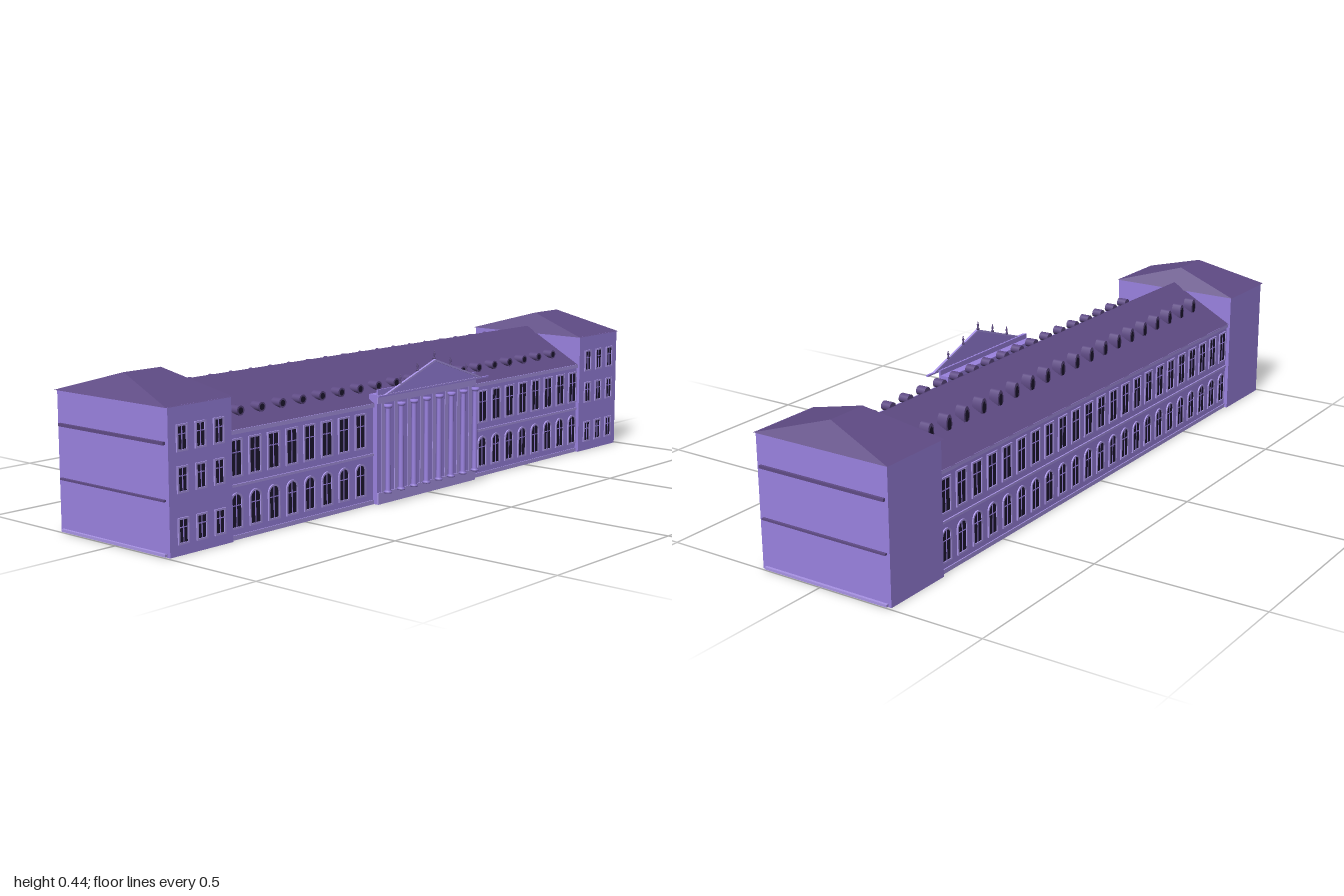
import * as THREE from 'three';

const mat = (color) => new THREE.MeshStandardMaterial({ color, side: THREE.DoubleSide });

export function createModel() {
  const root = new THREE.Group();
  root.name = 'palace';
  const wall = mat(0x9a82e0), roof = mat(0x5f4b85), dark = mat(0x1e1730), trim = mat(0xa994e6);
  const midZ = -0.0125; // ridge line of every roof

  const add = (name, geo, material, parent = root) => {
    const m = new THREE.Mesh(geo, material);
    m.name = name;
    parent.add(m);
    return m;
  };

  // Box given by its limits
  const block = (name, x0, x1, y0, y1, z0, z1, material, parent) => {
    const m = add(name, new THREE.BoxGeometry(x1 - x0, y1 - y0, z1 - z0), material, parent);
    m.position.set((x0 + x1) / 2, (y0 + y1) / 2, (z0 + z1) / 2);
    return m;
  };

  // Box whose top is pinched into a ridge from r0 to r1
  const ridgeRoof = (name, x0, x1, r0, r1, y0, y1, z0, z1) => {
    const g = new THREE.BoxGeometry(2, 2, 2);
    const p = g.attributes.position;
    for (let i = 0; i < p.count; i++) {
      const left = p.getX(i) < 0, top = p.getY(i) > 0, back = p.getZ(i) < 0;
      if (top) p.setXYZ(i, left ? r0 : r1, y1, midZ);
      else p.setXYZ(i, left ? x0 : x1, y0, back ? z0 : z1);
    }
    const flat = g.toNonIndexed();
    flat.computeVertexNormals();
    return add(name, flat, roof);
  };

  // Outline of a window opening, standing on y = 0
  const outline = (path, w, h, arched, grow = 0) => {
    const a = w / 2 + grow, top = arched ? h - w / 2 : h + grow;
    path.moveTo(-a, -grow);
    path.lineTo(a, -grow);
    path.lineTo(a, top);
    if (arched) path.absarc(0, top, a, 0, Math.PI, false);
    else path.lineTo(-a, top);
    path.lineTo(-a, -grow);
    return path;
  };

  // Window parts are shared between all windows of the same kind
  const windowKind = (w, h, arched) => {
    const frame = outline(new THREE.Shape(), w, h, arched, 0.005);
    frame.holes.push(outline(new THREE.Path(), w, h, arched));
    return {
      w, h,
      frame: new THREE.ExtrudeGeometry(frame, { depth: 0.004, bevelEnabled: false, curveSegments: 8 }),
      pane: new THREE.ShapeGeometry(outline(new THREE.Shape(), w, h, arched), 8),
      post: new THREE.BoxGeometry(0.0025, h, 0.002),
      rail: new THREE.BoxGeometry(w, 0.0025, 0.002),
    };
  };
  const addWindow = (kind, x, y, z, facing) => {
    const g = new THREE.Group();
    g.name = 'window';
    add('windowFrame', kind.frame, trim, g);
    add('windowPane', kind.pane, dark, g).position.z = 0.001;
    add('windowPost', kind.post, wall, g).position.set(0, kind.h / 2, 0.0015);
    add('windowRail', kind.rail, wall, g).position.set(0, kind.h * 0.66, 0.0015);
    g.position.set(x, y, z);
    if (facing < 0) g.rotation.y = Math.PI;
    root.add(g);
  };
  const tall = windowKind(0.036, 0.09, false);
  const arch = windowKind(0.034, 0.085, true);
  const small = windowKind(0.027, 0.058, false);

  // Main range
  block('mainWall', -0.78, 0.78, 0, 0.285, -0.21, 0.185, wall);
  ridgeRoof('mainRoof', -0.78, 0.78, -0.78, 0.78, 0.285, 0.395, -0.217, 0.19);
  for (const [y0, y1, d] of [[0, 0.012, 0.003], [0.138, 0.145, 0.004], [0.275, 0.286, 0.006]])
    block('stringCourse', -0.778, 0.778, y0, y1, -0.21 - d, 0.185 + d, trim);

  // Windows of the main range
  for (let i = 0; i < 8; i++) for (const s of [-1, 1]) {
    const x = s * (0.277 + i * 0.0682);
    addWindow(tall, x, 0.168, 0.185, 1);
    addWindow(arch, x, 0.033, 0.185, 1);
  }
  for (let i = -11; i <= 11; i++) {
    addWindow(tall, i * 0.0682, 0.168, -0.21, -1);
    addWindow(arch, i * 0.0682, 0.033, -0.21, -1);
  }

  // Round dormers on both slopes
  const disc = new THREE.CylinderGeometry(1, 1, 1, 14).rotateX(Math.PI / 2);
  for (let i = -9; i <= 9; i++) for (const s of [-1, 1]) {
    const front = s > 0, g = new THREE.Group();
    g.name = 'dormer';
    const rx = front ? 0.014 : 0.013, ry = front ? 0.013 : 0.027;
    add('dormerBody', disc, roof, g).scale.set(rx, ry, 0.03);
    const pane = add('dormerPane', disc, dark, g);
    pane.scale.set(rx * 0.6, ry * 0.65, 0.002);
    pane.position.z = 0.0148;
    g.position.set(i * 0.0775, front ? 0.323 : 0.347, front ? 0.133 : -0.115);
    if (!front) g.rotation.y = Math.PI;
    root.add(g);
  }

  // End pavilions
  for (const s of [-1, 1]) {
    const span = (a, b) => (s > 0 ? [a, b] : [-b, -a]);
    block('pavilionWall', ...span(0.778, 0.992), 0, 0.375, -0.222, 0.197, wall);
    ridgeRoof('pavilionRoof', ...span(0.772, 0.998), ...span(0.823, 0.947), 0.374, 0.435, -0.228, 0.2);
    for (const [y0, y1] of [[0.002, 0.009], [0.14, 0.145], [0.281, 0.289]])
      block('sideCourse', ...span(0.99, 1), y0, y1, -0.213, 0.186, y0 > 0.1 ? roof : trim);
    for (const x of [0.824, 0.886, 0.948]) for (const y of [0.033, 0.162, 0.266])
      addWindow(small, s * x, y, 0.197, 1);
  }

  // Portico
  block('porticoWall', -0.222, 0.222, 0, 0.31, 0.17, 0.2, wall);
  block('porticoParapet', -0.222, 0.222, 0.31, 0.325, 0.197, 0.202, wall);
  block('porticoFrieze', -0.222, 0.222, 0.285, 0.31, 0.2, 0.203, trim);
  block('porticoPlinth', -0.222, 0.222, 0, 0.033, 0.2, 0.204, trim);

  // Columns with pilasters behind them
  const columnProfile = [[0, 0], [0.0115, 0], [0.0115, 0.005], [0.0078, 0.009], [0.0068, 0.238],
    [0.0105, 0.243], [0.0115, 0.244], [0.0115, 0.25], [0, 0.25]].map((p) => new THREE.Vector2(...p));
  const columnGeo = new THREE.LatheGeometry(columnProfile, 14);
  for (let i = 0; i < 8; i++) {
    const x = (i - 3.5) * 0.0566;
    add('column', columnGeo, wall).position.set(x, 0.033, 0.2195);
    block('pilaster', x - 0.007, x + 0.007, 0.033, 0.285, 0.2, 0.202, trim);
  }

  // Pediment with raised raking edges
  const triangle = (path, a, y0, y1) => {
    path.moveTo(-a, y0);
    path.lineTo(a, y0);
    path.lineTo(0, y1);
    path.lineTo(-a, y0);
    return path;
  };
  const plate = (shape, depth) => new THREE.ExtrudeGeometry(shape, { depth, bevelEnabled: false });
  add('pediment', plate(triangle(new THREE.Shape(), 0.222, 0.311, 0.387), 0.004), wall).position.z = 0.222;
  const rim = triangle(new THREE.Shape(), 0.228, 0.31, 0.389);
  rim.holes.push(triangle(new THREE.Path(), 0.2, 0.315, 0.383));
  add('pedimentRim', plate(rim, 0.007), trim).position.z = 0.2215;
  block('pedimentCornice', -0.25, 0.25, 0.309, 0.313, 0.221, 0.229, wall);

  // Roof figures along the pediment
  const figureGeo = new THREE.LatheGeometry([[0, 0], [0.004, 0], [0.004, 0.004], [0.002, 0.006], [0.0035, 0.015],
    [0.0012, 0.019], [0.002, 0.022], [0, 0.025]].map((p) => new THREE.Vector2(...p)), 8);
  for (let i = -2; i <= 2; i++)
    add('figure', figureGeo, roof).position.set(i * 0.075, 0.389 - Math.abs(i) * 0.026, 0.222);

  return root;
}
